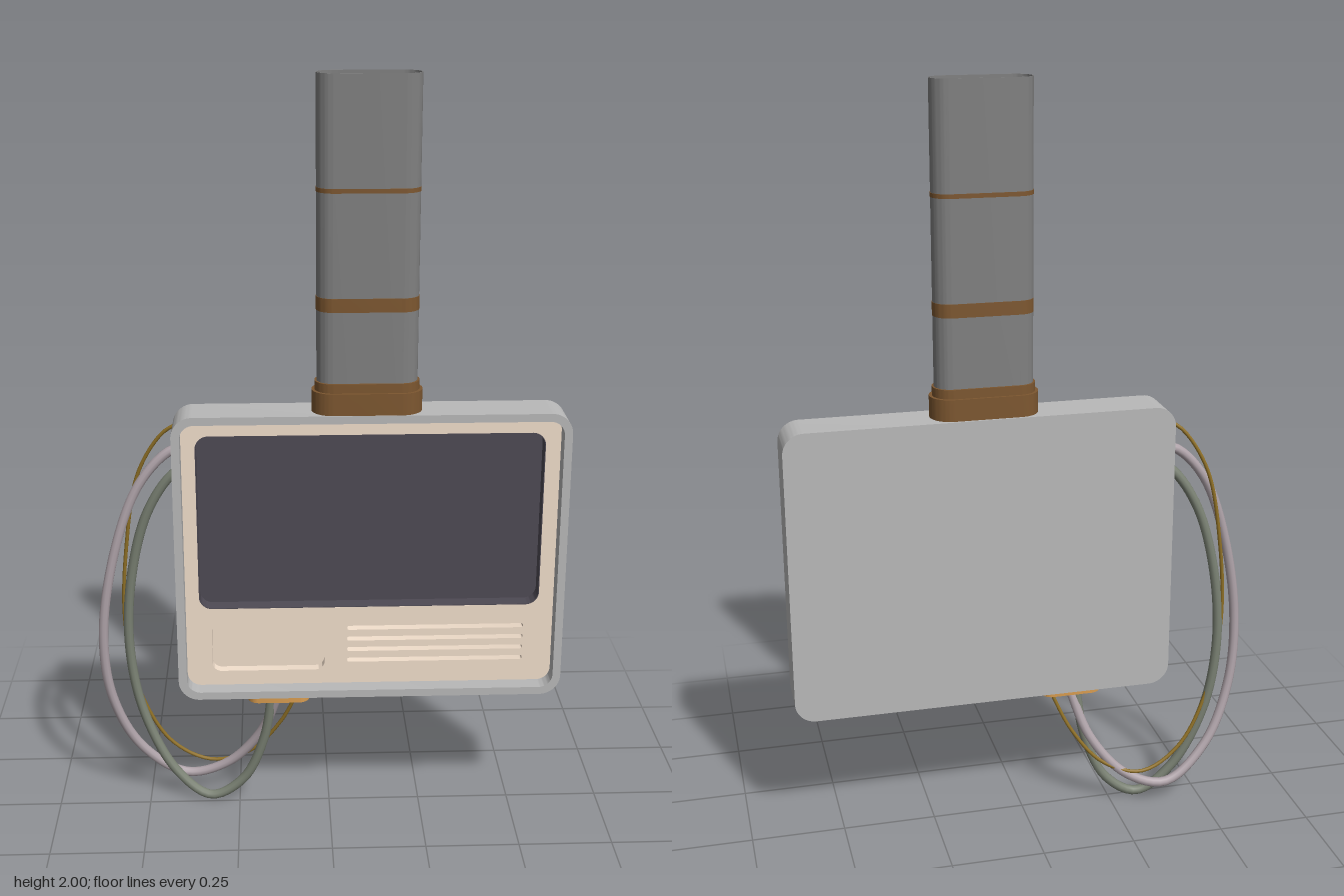
import * as THREE from 'three';
import { toCreasedNormals } from 'three/addons/utils/BufferGeometryUtils.js';

const mat = (color) => new THREE.MeshStandardMaterial({ color });
const M = {
  shell: mat(0xb9b9b9), panel: mat(0xf2dfcc), screen: mat(0x4e4a54), handle: mat(0x808080),
  leather: mat(0x7d5730), brass: mat(0xd89c50),
  mauve: mat(0xb0a4aa), green: mat(0x7b8274), gold: mat(0x8f7026),
};

// Rounded rectangle from its edges
function roundRect(x0, y0, x1, y1, r, Type = THREE.Shape) {
  const p = new Type();
  p.absarc(x1 - r, y1 - r, r, 0, Math.PI / 2);
  p.absarc(x0 + r, y1 - r, r, Math.PI / 2, Math.PI);
  p.absarc(x0 + r, y0 + r, r, Math.PI, Math.PI * 1.5);
  p.absarc(x1 - r, y0 + r, r, Math.PI * 1.5, Math.PI * 2);
  p.closePath();
  return p;
}

// Extruded rounded rectangle with optional rounded holes
function block(rect, depth, holes = []) {
  const shape = roundRect(...rect);
  holes.forEach((h) => shape.holes.push(roundRect(...h, THREE.Path)));
  const g = new THREE.ExtrudeGeometry(shape, { depth, bevelEnabled: false, curveSegments: 8 });
  return toCreasedNormals(g, 0.6);
}

export function createModel() {
  const model = new THREE.Group();
  const add = (name, geo, material) => {
    const mesh = new THREE.Mesh(geo, material);
    mesh.name = name;
    model.add(mesh);
    return mesh;
  };

  // Slab between two depths, seen from the front
  const slab = (name, rect, z0, z1, material, holes) => {
    add(name, block(rect, z1 - z0, holes), material).position.z = z0;
  };

  // Upright rounded block between two heights; a wall thickness makes it an open sleeve
  const upright = (name, cx, cz, w, d, r, y0, y1, material, wall = 0) => {
    const rect = (t) => [t - w / 2, t - d / 2, w / 2 - t, d / 2 - t, r - t];
    const g = block(rect(0), y1 - y0, wall ? [rect(wall)] : []);
    g.rotateX(-Math.PI / 2);
    add(name, g, material).position.set(cx, y0, cz);
  };

  // Case: back plate and raised rim
  const outer = [-0.405, 0.36, 0.621, 1.155, 0.055];
  const inner = [-0.383, 0.381, 0.6, 1.134, 0.037];
  slab('caseBack', outer, -0.043, -0.03, M.shell);
  slab('caseRim', outer, -0.03, 0.077, M.shell, [inner]);

  // Face panel with screen opening, label recess and vent slots
  const opening = [-0.347, 0.605, 0.561, 1.09, 0.035];
  const label = [-0.315, 0.422, -0.013, 0.566, 0.024];
  const vents = [0.544, 0.512, 0.481, 0.449].map((y) => [0.047, y - 0.006, 0.522, y + 0.006, 0.0058]);
  slab('facePanel', inner, 0.0, 0.031, M.panel, [opening, label, ...vents]);
  slab('recessFloor', [-0.38, 0.385, 0.59, 0.6, 0.03], -0.02, 0.004, M.panel);

  // Screen with its dark surround
  slab('screen', opening, -0.028, -0.01, M.screen);
  slab('screenSurround', opening, -0.01, 0.0305, M.screen, [[-0.345, 0.607, 0.559, 1.088, 0.033]]);

  // Hollow handle with collar and bands
  const hx = 0.096, hz = 0.019;
  upright('handle', hx, hz, 0.258, 0.086, 0.0425, 1.15, 2.0, M.handle, 0.002);
  upright('collarBase', hx, hz, 0.284, 0.112, 0.0555, 1.15, 1.212, M.leather, 0.014);
  upright('collarStep', hx, hz, 0.268, 0.098, 0.0485, 1.212, 1.236, M.leather, 0.006);
  upright('wideBand', hx, hz, 0.26, 0.09, 0.0445, 1.42, 1.455, M.leather, 0.003);
  upright('thinBand', hx, hz, 0.26, 0.09, 0.0445, 1.716, 1.727, M.leather, 0.003);
  add('bandTab', new THREE.BoxGeometry(0.006, 0.035, 0.002), M.leather).position.set(0.183, 1.4375, 0.0645);

  // Cable plate under the case
  upright('cablePlate', -0.138, 0.022, 0.166, 0.086, 0.03, 0.34, 0.362, M.brass);

  // Hanging cables
  const cables = [
    ['mauveCable', 0.013, M.mauve, [
      [-0.135, 0.355, 0.02], [-0.19, 0.205, -0.02], [-0.285, 0.095, -0.05], [-0.4, 0.06, -0.064], [-0.52, 0.155, -0.045],
      [-0.592, 0.32, -0.018], [-0.608, 0.52, -0.004], [-0.568, 0.76, -0.007], [-0.5, 0.94, -0.018], [-0.42, 1.03, -0.024], [-0.36, 1.05, -0.025]]],
    ['greenCable', 0.013, M.green, [
      [-0.155, 0.355, 0.015], [-0.18, 0.2, 0.003], [-0.24, 0.067, -0.008], [-0.33, 0.0135, -0.015], [-0.425, 0.085, -0.028],
      [-0.51, 0.26, -0.042], [-0.543, 0.46, -0.045], [-0.53, 0.67, -0.04], [-0.48, 0.86, -0.03], [-0.41, 0.97, -0.022], [-0.36, 1.0, -0.018]]],
    ['goldCable', 0.005, M.gold, [
      [-0.08, 0.35, 0.0], [-0.135, 0.235, -0.022], [-0.22, 0.135, -0.044], [-0.33, 0.1, -0.061], [-0.44, 0.165, -0.056],
      [-0.525, 0.34, -0.046], [-0.553, 0.54, -0.047], [-0.54, 0.76, -0.047], [-0.5, 0.97, -0.037], [-0.43, 1.085, -0.024], [-0.38, 1.115, -0.015]]],
  ];
  cables.forEach(([name, r, material, pts]) => {
    const path = new THREE.CatmullRomCurve3(pts.map((p) => new THREE.Vector3(...p)));
    add(name, new THREE.TubeGeometry(path, 80, r, 10), material);
  });

  return model;
}
